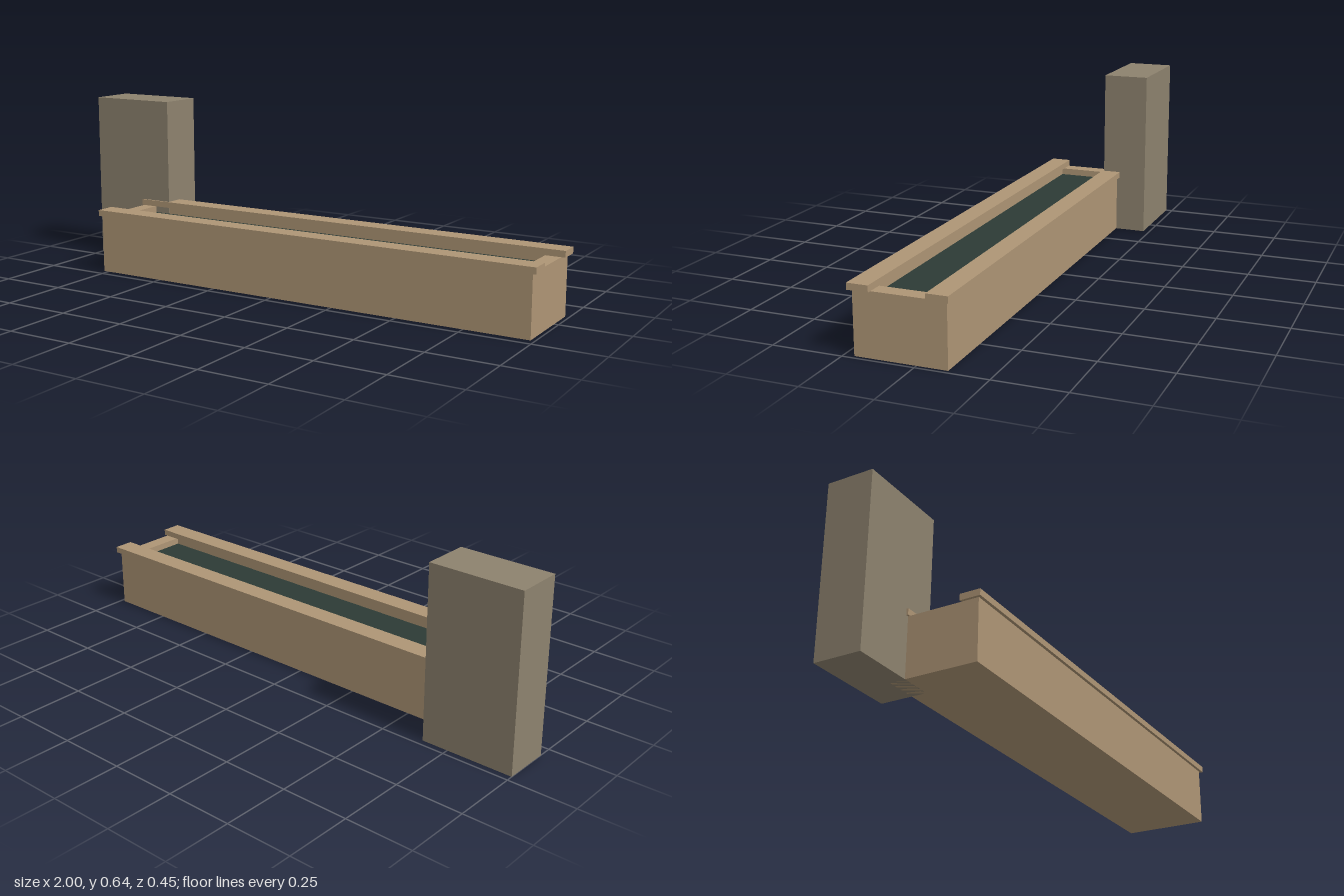
import * as THREE from 'three';

export function createModel() {
  const model = new THREE.Group();
  model.name = 'waterTrough';
  const mat = (name, color) => {
    const m = new THREE.MeshStandardMaterial({ color });
    m.name = name;
    return m;
  };
  const paleStone = mat('paleStone', 0xae9575);
  const greyStone = mat('greyStone', 0x8d826e);
  const darkWater = mat('darkWater', 0x2d3b35);

  // Box given by its limits on each axis
  const block = (name, material, [x0, x1], [y0, y1], [z0, z1]) => {
    const mesh = new THREE.Mesh(new THREE.BoxGeometry(x1 - x0, y1 - y0, z1 - z0), material);
    mesh.position.set((x0 + x1) / 2, (y0 + y1) / 2, (z0 + z1) / 2);
    mesh.name = name;
    model.add(mesh);
  };

  // Basin: rectangular ring of walls extruded upward
  const X0 = -0.77, X1 = 0.985, Z0 = -0.107, Z1 = 0.214, wall = 0.056, rim = 0.22;
  const rect = (path, x0, x1, z0, z1) =>
    path.moveTo(x0, -z0).lineTo(x0, -z1).lineTo(x1, -z1).lineTo(x1, -z0).closePath();
  const ring = rect(new THREE.Shape(), X0, X1, Z0, Z1);
  ring.holes.push(rect(new THREE.Path(), X0 + wall, X1 - wall, Z0 + wall, Z1 - wall));
  const walls = new THREE.Mesh(
    new THREE.ExtrudeGeometry(ring, { depth: rim, bevelEnabled: false }).rotateX(-Math.PI / 2), paleStone);
  walls.name = 'basinWalls';
  model.add(walls);

  // Floor and water inside the walls
  const innerX = [X0 + wall, X1 - wall], innerZ = [Z0 + wall, Z1 - wall];
  block('basinFloor', paleStone, innerX, [0, 0.04], innerZ);
  block('water', darkWater, innerX, [0.04, 0.195], innerZ);

  // Overhanging coping slabs along the two long walls
  block('frontCoping', paleStone, [-0.78, 1], [rim, 0.243], [0.15, 0.225]);
  block('backCoping', paleStone, [-0.78, 1], [rim, 0.243], [-0.118, -0.043]);

  // Upright pillar at the back corner
  block('pillar', greyStone, [-1, -0.65], [0, 0.643], [-0.225, -0.05]);

  return model;
}
